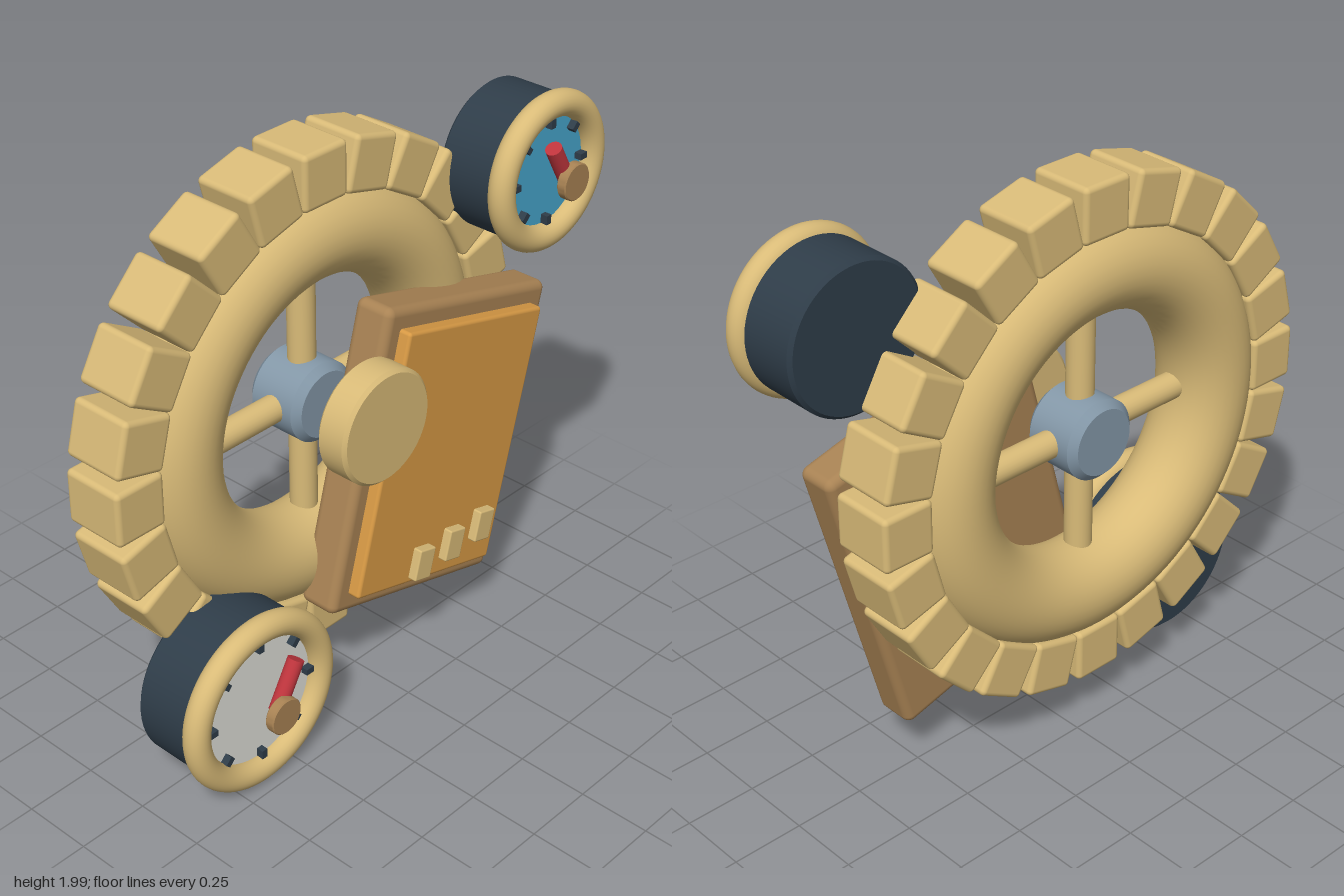
import * as THREE from 'three';
import { toCreasedNormals } from 'three/addons/utils/BufferGeometryUtils.js';
import { RoundedBoxGeometry } from 'three/addons/geometries/RoundedBoxGeometry.js';

const mat = (name, color) => {
  const m = new THREE.MeshStandardMaterial({ color });
  m.name = name;
  return m;
};

export function createModel() {
  const gold = mat('gold', 0xd9bb78);
  const brown = mat('brown', 0xa98354);
  const orange = mat('orange', 0xd89a45);
  const navy = mat('navy', 0x2f3d49);
  const steel = mat('steel', 0x8498a8);
  const red = mat('red', 0xc0353d);
  const blue = mat('blue', 0x48a6cd);
  const white = mat('white', 0xdfdfd8);

  const root = new THREE.Group();
  root.name = 'gearWithGauges';

  const add = (parent, name, geometry, material, x = 0, y = 0, z = 0) => {
    const mesh = new THREE.Mesh(geometry, material);
    mesh.name = name;
    mesh.position.set(x, y, z);
    parent.add(mesh);
    return mesh;
  };
  const group = (name, x, y) => {
    const g = new THREE.Group();
    g.name = name;
    g.position.set(x, y, 0);
    root.add(g);
    return g;
  };
  // Bevelled disc whose axis is z, from z0 to z1
  const disc = (r, z0, z1, b, segments = 64) => {
    const pts = [[0, z0], [r - b, z0], [r, z0 + b], [r, z1 - b], [r - b, z1], [0, z1]];
    const g = new THREE.LatheGeometry(pts.map(p => new THREE.Vector2(...p)), segments);
    return toCreasedNormals(g.rotateX(Math.PI / 2), 0.5);
  };

  // Toothed wheel
  const wheel = group('wheel', -0.1, 1.1);
  const wheelZ = -0.138;
  add(wheel, 'wheelRing', new THREE.TorusGeometry(0.58, 0.16, 32, 96), gold, 0, 0, wheelZ);
  const toothGeo = new RoundedBoxGeometry(0.19, 0.19, 0.23, 3, 0.018);
  for (let i = 0; i < 24; i++) {
    const a = i * Math.PI / 12;
    const tooth = add(wheel, 'tooth', toothGeo, gold, Math.cos(a) * 0.805, Math.sin(a) * 0.805, -0.135);
    tooth.rotation.z = a - Math.PI / 2;
  }

  // Spokes and hub
  const spokeGeo = new THREE.CylinderGeometry(0.047, 0.047, 0.5, 24);
  for (let i = 0; i < 4; i++) {
    const a = i * Math.PI / 2;
    const spoke = add(wheel, 'spoke', spokeGeo, gold, Math.cos(a) * 0.25, Math.sin(a) * 0.25, wheelZ);
    spoke.rotation.z = a - Math.PI / 2;
  }
  add(wheel, 'hub', disc(0.14, -0.25, -0.03, 0.025), steel);

  // Tilted panel with raised face
  const tilt = -Math.PI / 12;
  const panel = group('panel', 0.295, 0.815);
  panel.rotation.z = tilt;
  add(panel, 'panelBase', new RoundedBoxGeometry(0.825, 1.08, 0.15, 4, 0.03), brown, 0, 0, 0.045);
  add(panel, 'panelFace', new RoundedBoxGeometry(0.695, 0.94, 0.08, 3, 0.012), orange, 0, 0, 0.125);

  // Buttons in a level row, each tilted with the panel
  const buttonGeo = new RoundedBoxGeometry(0.08, 0.115, 0.04, 2, 0.006);
  for (const x of [0.14, 0.295, 0.45]) {
    add(root, 'button', buttonGeo, gold, x, 0.45, 0.177).rotation.z = tilt;
  }

  // Round plate in front of the hub
  add(root, 'frontPlate', disc(0.2, 0.1, 0.22, 0.012), gold, -0.085, 1.11);

  // Gauges
  const tickGeo = new THREE.BoxGeometry(0.032, 0.022, 0.03);
  const gauge = (name, x, y, r, dialMaterial, needleAngle, needleLength) => {
    const g = group(name, x, y);
    add(g, 'gaugeBody', disc(r + 0.02, -0.067, 0.155, 0.012), navy);
    add(g, 'gaugeRim', new THREE.TorusGeometry(r, 0.045, 24, 80), gold, 0, 0, 0.18);
    add(g, 'dial', new THREE.CircleGeometry(r, 64), dialMaterial, 0, 0, 0.172);
    for (let i = 0; i < 8; i++) {
      const a = i * Math.PI / 4, d = r - 0.06;
      add(g, 'tick', tickGeo, navy, Math.cos(a) * d, Math.sin(a) * d, 0.183).rotation.z = a;
    }
    const needleGeo = new THREE.CylinderGeometry(0.028, 0.028, needleLength, 24);
    const half = needleLength / 2;
    const needle = add(g, 'needle', needleGeo, red,
      Math.cos(needleAngle) * half, Math.sin(needleAngle) * half, 0.257);
    needle.rotation.z = needleAngle - Math.PI / 2;
    add(g, 'needleCap', disc(0.064, 0.268, 0.303, 0.004, 40), brown);
  };
  gauge('lowerGauge', -0.64, 0.33, 0.275, white, Math.PI / 3, 0.18);
  gauge('upperGauge', 0.72, 1.7, 0.23, blue, Math.PI * 2 / 3, 0.15);

  return root;
}
